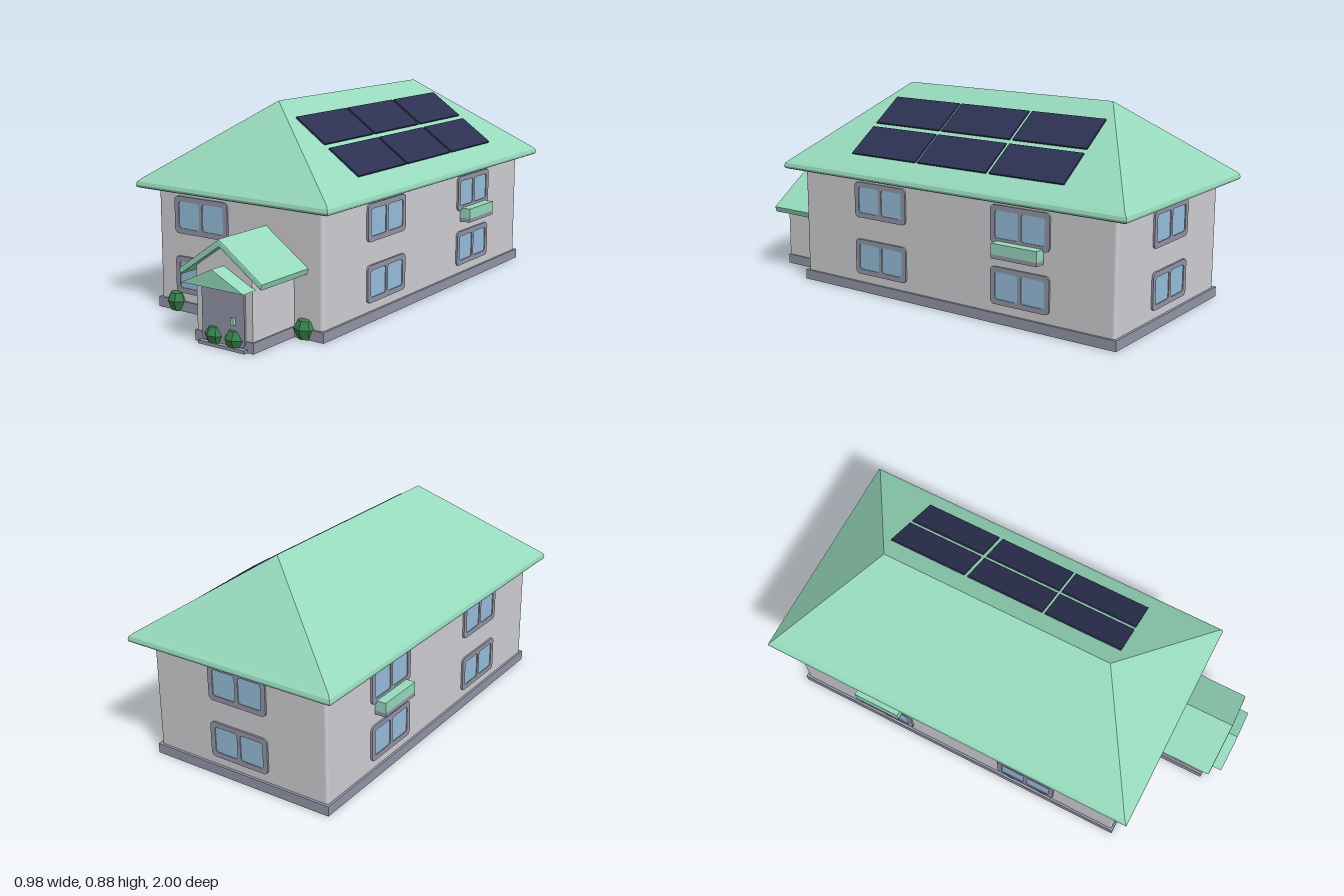
import * as THREE from 'three';

const mat = (name, color, opts = {}) => {
  const m = new THREE.MeshStandardMaterial({ color, ...opts });
  m.name = name;
  return m;
};

export function createModel() {
  const house = new THREE.Group();
  house.name = 'house';
  const wall = mat('wall pale grey', 0xd0cfd4);
  const trim = mat('trim lilac grey', 0x9496a8);
  const green = mat('roof mint', 0x97dabd);
  const glass = mat('window blue', 0x97bfdc);
  const solar = mat('solar navy', 0x2c3152);
  const leaf = mat('bush green', 0x37804b);

  const add = (name, geo, material, x = 0, y = 0, z = 0, parent = house) => {
    const m = new THREE.Mesh(geo, material);
    m.name = name;
    m.position.set(x, y, z);
    parent.add(m);
    return m;
  };
  // Box given by its limits
  const box = (name, material, x0, x1, y0, y1, z0, z1) =>
    add(name, new THREE.BoxGeometry(x1 - x0, y1 - y0, z1 - z0), material,
      (x0 + x1) / 2, (y0 + y1) / 2, (z0 + z1) / 2);
  // Rounded rectangle outline centred on (cx, cy)
  const rounded = (w, h, r, cx = 0, cy = 0, S = THREE.Shape) => {
    const s = new S(), a = w / 2, b = h / 2;
    s.absarc(cx + a - r, cy + b - r, r, 0, Math.PI / 2);
    s.absarc(cx - a + r, cy + b - r, r, Math.PI / 2, Math.PI);
    s.absarc(cx - a + r, cy - b + r, r, Math.PI, Math.PI * 1.5);
    s.absarc(cx + a - r, cy - b + r, r, Math.PI * 1.5, Math.PI * 2);
    s.closePath();
    return s;
  };
  const polygon = pts => new THREE.Shape(pts.map(p => new THREE.Vector2(...p)));
  const extrude = (shape, depth, extra = {}) =>
    new THREE.ExtrudeGeometry(shape, { depth, bevelEnabled: false, curveSegments: 5, ...extra });

  // Main walls with softened corners, on a plinth
  const walls = extrude(rounded(0.84, 1.6, 0.012), 0.485);
  walls.rotateX(-Math.PI / 2);
  add('mainWalls', walls, wall, 0, 0.035, -0.125);
  box('plinth', trim, -0.43, 0.43, 0, 0.043, -0.936, 0.684);

  // Hipped roof from rectangular loops: [inset from the eaves, height]
  const rings = [[0.012, 0.514], [0.003, 0.518], [0, 0.527], [0.004, 0.541], [0.018, 0.554]]
    .map(([d, y]) => [[-0.49 + d, y, 0.74 - d], [0.49 - d, y, 0.74 - d],
      [0.49 - d, y, -1 + d], [-0.49 + d, y, -1 + d]]);
  const F = [0, 0.878, 0.4], B = [0, 0.878, -0.65];
  rings.push([F, F, B, B]);
  const pos = [];
  const quad = (a, b, c, d) => pos.push(...a, ...b, ...c, ...a, ...c, ...d);
  for (let i = 0; i < rings.length - 1; i++) {
    for (let j = 0; j < 4; j++) {
      const k = (j + 1) % 4;
      const lo = rings[i], hi = rings[i + 1];
      if (hi[j] === hi[k]) pos.push(...lo[j], ...lo[k], ...hi[j]);
      else quad(lo[j], lo[k], hi[k], hi[j]);
    }
  }
  quad(rings[0][3], rings[0][2], rings[0][1], rings[0][0]);
  const roof = new THREE.BufferGeometry();
  roof.setAttribute('position', new THREE.Float32BufferAttribute(pos, 3));
  roof.computeVertexNormals();
  add('mainRoof', roof, green);

  // Solar panels lying on the right slope
  const pitch = Math.atan2(0.324, 0.472);
  for (const x of [0.166, 0.33]) {
    for (const z of [-0.5, -0.132, 0.232]) {
      const panel = add('solarPanel', new THREE.BoxGeometry(0.143 / Math.cos(pitch), 0.008, 0.352), solar,
        x, 0.882 - x * Math.tan(pitch), z);
      panel.rotation.z = -pitch;
    }
  }

  // Two-pane window: frame with holes, glass set just behind it
  const frameShape = rounded(0.282, 0.157, 0.02);
  for (const s of [-1, 1]) frameShape.holes.push(rounded(0.111, 0.113, 0.012, s * 0.0635, 0, THREE.Path));
  const frameGeo = extrude(frameShape, 0.009);
  const glassGeo = new THREE.BoxGeometry(0.25, 0.125, 0.005);
  const addWindow = (x, y, z, turn) => {
    const g = new THREE.Group();
    g.name = 'window';
    g.position.set(x, y, z);
    g.rotation.y = turn;
    add('windowFrame', frameGeo, trim, 0, 0, -0.001, g);
    add('windowGlass', glassGeo, glass, 0, 0, 0.0015, g);
    house.add(g);
  };
  for (const y of [0.159, 0.413]) {
    addWindow(-0.187, y, 0.675, 0);
    addWindow(0, y, -0.925, Math.PI);
    for (const s of [-1, 1]) {
      for (const z of [0.235, -0.49]) addWindow(s * 0.42, y, z, s * Math.PI / 2);
    }
  }

  // Side window ledges
  for (const s of [-1, 1]) {
    const side = (name, m, y0, y1) =>
      box(name, m, s > 0 ? 0.415 : -0.47, s > 0 ? 0.47 : -0.415, y0, y1, -0.6, -0.382);
    side('ledgeTop', green, 0.3, 0.345);
    side('ledgeBase', trim, 0.283, 0.3);
  }

  // Porch with gabled wall, plinth and step
  const cx = 0.147;
  add('porchWalls', extrude(polygon([[0.01, 0.01], [0.284, 0.01], [0.284, 0.3], [cx, 0.4], [0.01, 0.3]]), 0.28),
    wall, 0, 0, 0.65);
  box('porchPlinth', trim, 0, 0.29, 0, 0.043, 0.65, 0.935);
  box('step', trim, 0.032, 0.262, 0, 0.013, 0.93, 0.955);

  // Porch roof: a folded slab with soft edges
  const chevron = polygon([[-0.048, 0.268], [cx, 0.402], [0.342, 0.268], [0.345, 0.281],
    [cx, 0.419], [-0.051, 0.281]]);
  add('porchRoof', extrude(chevron, 0.29, {
    bevelEnabled: true, bevelSize: 0.006, bevelThickness: 0.006, bevelSegments: 2,
  }), green, 0, 0, 0.661);

  // Small gabled canopy above the door
  add('doorCanopy', extrude(polygon([[-0.004, 0.247], [0.298, 0.247], [cx, 0.319]]), 0.075),
    green, 0, 0, 0.925);

  // Door and handle
  add('door', extrude(rounded(0.209, 0.222, 0.018), 0.011), trim, 0.1465, 0.126, 0.928);
  box('doorHandle', green, 0.194, 0.208, 0.1, 0.128, 0.935, 0.952);

  // Faceted bushes
  const profile = [[0, 0], [0.037, 0], [0.053, 0.042], [0.036, 0.074], [0.022, 0.081], [0, 0.081]];
  const bushGeo = new THREE.LatheGeometry(profile.map(p => new THREE.Vector2(...p)), 8).toNonIndexed();
  bushGeo.computeVertexNormals();
  const bushes = [[-0.335, 0.66], [0.332, 0.66], [0.097, 0.912], [0.195, 0.912]];
  bushes.forEach(([x, z], i) => {
    add('bush', bushGeo, leaf, x, 0, z).rotation.y = 0.3 + i * 0.5;
  });

  return house;
}
